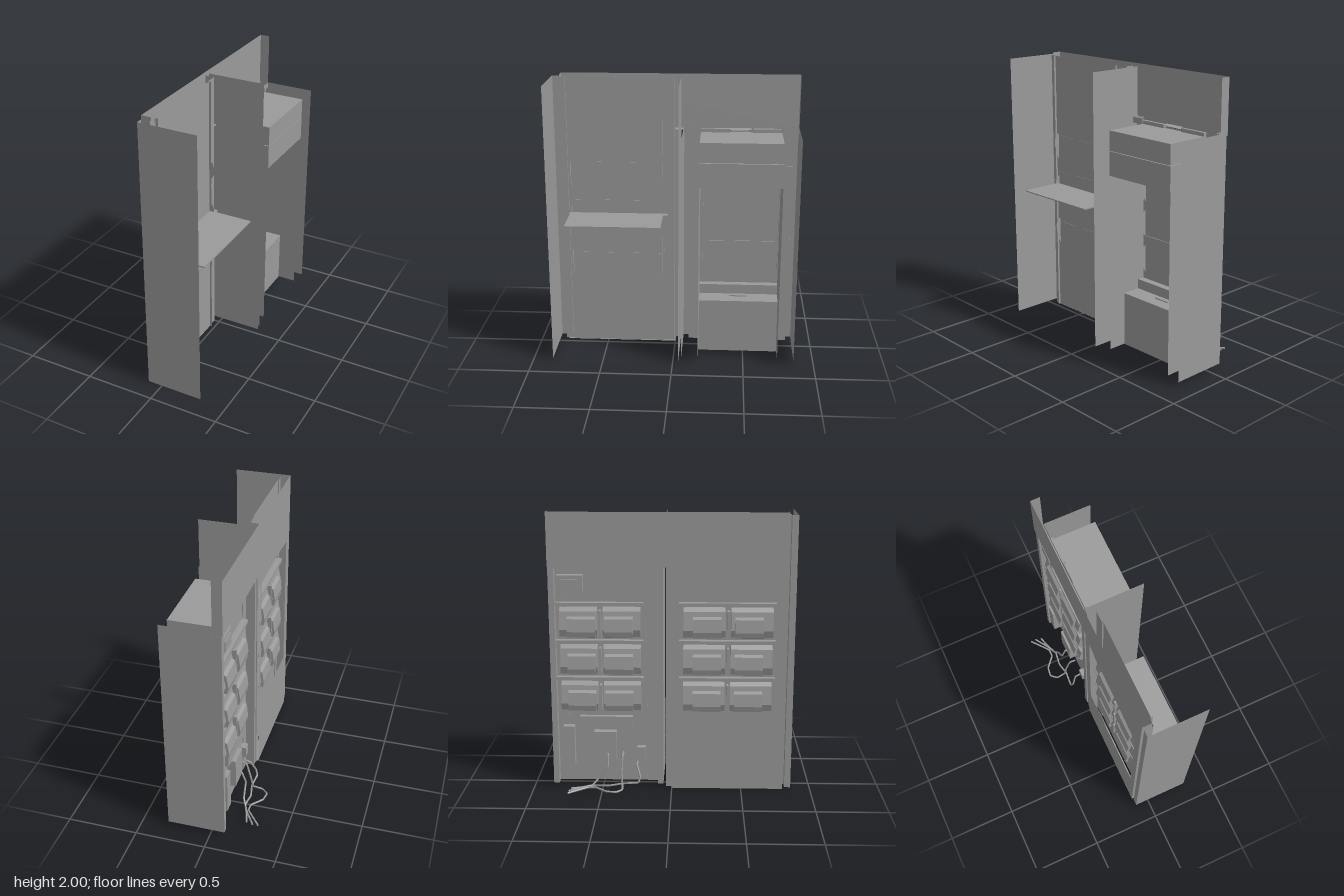
import * as THREE from 'three';

const grey = new THREE.MeshStandardMaterial({ color: 0x9a9a9a, side: THREE.DoubleSide, flatShading: true });
const greyOneSided = new THREE.MeshStandardMaterial({ color: 0x9a9a9a, flatShading: true });

export function createModel() {
  const model = new THREE.Group();

  const add = (name, geometry, parent = model, material = grey) => {
    const mesh = new THREE.Mesh(geometry, material);
    mesh.name = name;
    parent.add(mesh);
    return mesh;
  };
  // Box given by its limits on each axis
  const box = (name, x0, x1, y0, y1, z0, z1) => {
    const mesh = add(name, new THREE.BoxGeometry(x1 - x0, y1 - y0, z1 - z0));
    mesh.position.set((x0 + x1) / 2, (y0 + y1) / 2, (z0 + z1) / 2);
  };
  // Thin metal sheets facing along x, along z, or upwards only
  const sheetX = (name, x, y0, y1, z0, z1, parent) => {
    const mesh = add(name, new THREE.PlaneGeometry(Math.abs(z1 - z0), y1 - y0), parent);
    mesh.rotation.y = Math.PI / 2;
    mesh.position.set(x, (y0 + y1) / 2, (z0 + z1) / 2);
  };
  const sheetZ = (name, z, x0, x1, y0, y1, parent) => {
    const mesh = add(name, new THREE.PlaneGeometry(x1 - x0, y1 - y0), parent);
    mesh.position.set((x0 + x1) / 2, (y0 + y1) / 2, z);
  };
  const sheetUp = (name, y, x0, x1, z0, z1) => {
    const mesh = add(name, new THREE.PlaneGeometry(x1 - x0, z1 - z0), model, greyOneSided);
    mesh.rotation.x = -Math.PI / 2;
    mesh.position.set((x0 + x1) / 2, y, (z0 + z1) / 2);
  };
  const outline = (Type, points) => new Type(points.map(([u, v]) => new THREE.Vector2(u, v)));
  // Polygon in x and y, extruded along z
  const prism = (name, points, z0, z1) => {
    const geometry = new THREE.ExtrudeGeometry(outline(THREE.Shape, points), { depth: z1 - z0, bevelEnabled: false });
    add(name, geometry).position.z = z0;
  };

  // Rear sheet: full-width header, solid lower part and a notched window
  const rear = outline(THREE.Shape, [[0, 0], [0.8, 0], [0.8, 2], [-0.86, 2], [-0.86, 1.62], [0, 1.62]]);
  rear.holes.push(outline(THREE.Path, [[0.04, 0.48], [0.04, 1.56], [0.74, 1.5], [0.74, 0.48],
    [0.3, 0.48], [0.25, 0.53], [0.17, 0.53], [0.12, 0.48]]));
  const rearGeometry = new THREE.ShapeGeometry(rear);
  rearGeometry.rotateY(-Math.PI / 2);
  add('rearPanel', rearGeometry).position.x = -0.108;
  sheetZ('headerEndReturn', -0.859, -0.108, -0.04, 1.62, 2);
  sheetZ('rearSideReturn', 0.8, -0.108, -0.04, 0, 2);
  sheetUp('headerLip', 1.62, -0.108, -0.04, -0.86, 0);
  sheetUp('rearBottomLip', 0.002, -0.108, -0.04, 0, 0.8);

  // Stepped door jamb running from an outer fin in towards the opening
  const jamb = (name, fin, dir, y0, y1, step1, step2) => {
    const group = new THREE.Group();
    group.name = name;
    const a = fin + dir * step1, b = fin + dir * step2;
    sheetZ('outerFin', fin, -0.1, 0.31, y0, y1, group);
    sheetX('outerFlange', -0.1, y0, y1, fin, a, group);
    sheetZ('stepReturn', a, -0.1, -0.038, y0, y1, group);
    sheetX('innerFlange', -0.038, y0, y1, a, b, group);
    sheetZ('innerReturn', b, -0.038, -0.015, y0, y1, group);
    model.add(group);
  };
  jamb('wideBayFrontJamb', 0.86, -1, 0.01, 1.98, 0.045, 0.1);
  jamb('wideBayRearJamb', -0.04, 1, 0.01, 1.98, 0.045, 0.13);
  jamb('narrowBayFrontJamb', -0.06, -1, 0.03, 1.64, 0.04, 0.115);
  jamb('narrowBayRearJamb', -0.858, 1, 0.03, 1.64, 0.04, 0.115);

  // Wide bay: inner wall with seams, and a cantilevered shelf
  sheetX('wideBayWall', -0.03, 0.01, 1.98, 0.08, 0.765);
  box('shelfRail', -0.03, 0.012, 0.985, 1.005, 0.05, 0.757);
  box('shelf', -0.02, 0.29, 1, 1.008, 0.085, 0.75);
  for (const y of [0.7, 1.1, 1.38]) box('wallSeam', -0.03, -0.028, y, y + 0.003, 0.1, 0.75);

  // Narrow bay: wall, liner sides, upper cabinet and lower cabinet
  sheetX('narrowBayWall', -0.032, 0.03, 1.62, -0.745, -0.175);
  for (const z of [-0.178, -0.743]) sheetZ('linerSide', z, -0.036, 0.29, 0.03, 1.31);
  box('upperCabinetBody', -0.03, 0.293, 1.3, 1.468, -0.743, -0.178);
  box('upperCabinetLid', -0.03, 0.293, 1.472, 1.61, -0.741, -0.18);
  sheetX('lowerCabinetFront', 0.155, 0.03, 0.42, -0.74, -0.18);
  box('lowerCabinetTop', -0.03, 0.157, 0.413, 0.42, -0.74, -0.18);
  box('lowerCabinetLedge', -0.03, 0.02, 0.42, 0.49, -0.74, -0.18);
  box('lowerCabinetSlot', 0.05, 0.07, 0.42, 0.428, -0.52, -0.4);
  box('middleSeam', -0.03, -0.024, 0.807, 0.812, -0.71, -0.2);
  // Top tabs either side of a central notch
  for (const [z0, z1, lip0, lip1] of [[-0.38, -0.06, -0.38, -0.18], [-0.858, -0.53, -0.74, -0.54]]) {
    sheetX('topTab', -0.038, 1.6, 1.64, z0, z1);
    box('topTabLip', -0.038, -0.015, 1.61, 1.635, lip0, lip1);
  }

  // Thin angular clips on the edges of both bays
  const clip = [[-0.03, 0], [-0.012, 0.03], [-0.012, 0.07], [0.008, 0.1], [0.008, 0.15], [-0.005, 0.19], [-0.03, 0.2]];
  const clipRow = (z, heights) => heights.forEach((y) =>
    add('edgeClip', new THREE.ShapeGeometry(outline(THREE.Shape, clip))).position.set(0, y, z));
  for (const z of [0.09, 0.74]) clipRow(z, [0.53, 0.87, 1.2]);
  for (const z of [-0.2, -0.735]) clipRow(z, [0.54, 0.8, 1.06]);

  // Rows of sloping trays with raised pads behind each bay
  const tray = [[-0.036, -0.02], [-0.07, -0.02], [-0.085, 0.03], [-0.06, 0.16], [-0.036, 0.19]];
  const pad = [[-0.06, -0.03], [-0.095, -0.02], [-0.104, 0.02], [-0.09, 0.11], [-0.06, 0.13]];
  const trayRows = (z0, z1) => {
    const mid = (z0 + z1) / 2;
    for (const y of [0.6, 0.87, 1.14]) {
      const lift = (points) => points.map(([x, dy]) => [x, y + dy]);
      for (const [a, b, inner] of [[z0, mid - 0.02, 1], [mid + 0.02, z1, -1]]) {
        prism('tray', lift(tray), a, b);
        const c = (a + b) / 2 + inner * 0.02;
        prism('trayPad', lift(pad), c - 0.1, c + 0.1);
      }
      box('trayRail', -0.08, -0.036, y + 0.2, y + 0.225, z0 - 0.03, z1 + 0.02);
      box('trayDivider', -0.09, -0.036, y - 0.02, y + 0.17, mid - 0.008, mid + 0.008);
    }
  };
  trayRows(0.08, 0.71);
  trayRows(-0.79, -0.22);

  // Equipment at the top and bottom of the narrow bay
  box('upperModule', -0.09, -0.036, 1.44, 1.56, -0.8, -0.62);
  box('upperModuleFace', -0.098, -0.09, 1.46, 1.53, -0.77, -0.65);
  box('powerUnit', -0.1, -0.036, 0.16, 0.46, -0.78, -0.7);
  box('junctionBox', -0.095, -0.036, 0.2, 0.42, -0.56, -0.4);
  box('cableDuct', -0.075, -0.036, 0.45, 0.53, -0.66, -0.28);
  box('sidePlate', -0.08, -0.036, 0.22, 0.3, -0.25, -0.19);

  // Loose cables trailing out over the floor
  const cables = [
    [[-0.07, 0.26, -0.35], [-0.115, 0.25, -0.355], [-0.15, 0.13, -0.36], [-0.165, 0.05, -0.355], [-0.235, 0.035, -0.35],
      [-0.28, 0.035, -0.39], [-0.27, 0.035, -0.46], [-0.2, 0.035, -0.54], [-0.2, 0.035, -0.6], [-0.305, 0.035, -0.73]],
    [[-0.07, 0.19, -0.25], [-0.115, 0.18, -0.25], [-0.15, 0.1, -0.225], [-0.165, 0.06, -0.24], [-0.155, 0.05, -0.35],
      [-0.175, 0.04, -0.45], [-0.16, 0.035, -0.55], [-0.2, 0.035, -0.63], [-0.265, 0.035, -0.73]],
    [[-0.07, 0.26, -0.46], [-0.11, 0.25, -0.46], [-0.14, 0.17, -0.46], [-0.145, 0.08, -0.53], [-0.17, 0.04, -0.57],
      [-0.2, 0.035, -0.65], [-0.22, 0.035, -0.72]],
  ];
  for (const points of cables) {
    const path = new THREE.CatmullRomCurve3(points.map((p) => new THREE.Vector3(...p)), false, 'catmullrom', 0.05);
    add('cable', new THREE.TubeGeometry(path, 60, 0.007, 6));
  }

  return model;
}
